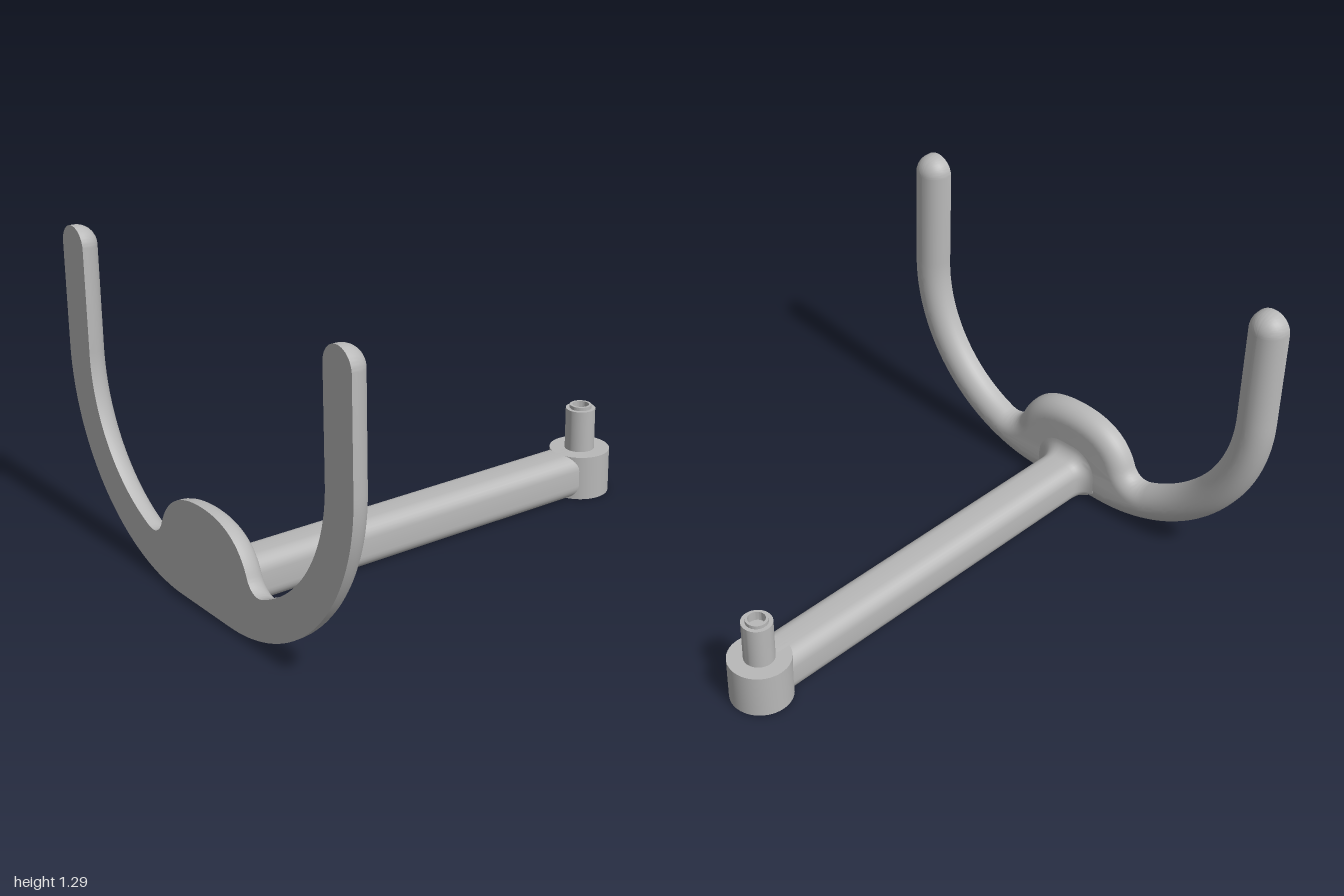
import * as THREE from 'three';
import { toCreasedNormals } from 'three/addons/utils/BufferGeometryUtils.js';

// Skin a run of equal-length rings [x, y, z] from high z to low z, with flat caps.
function loft(rings) {
  const n = rings[0].length, index = [];
  for (let k = 0; k < rings.length - 1; k++) {
    for (let i = 0; i < n; i++) {
      const a = k * n + i, b = k * n + (i + 1) % n;
      index.push(a, a + n, b, b, a + n, b + n);
    }
  }
  const cap = (k, flip) => {
    const contour = rings[k].map(([x, y]) => new THREE.Vector2(x, y));
    for (const [a, b, c] of THREE.ShapeUtils.triangulateShape(contour, [])) {
      const o = k * n;
      index.push(o + a, o + (flip ? c : b), o + (flip ? b : c));
    }
  };
  cap(0, false);
  cap(rings.length - 1, true);
  const geo = new THREE.BufferGeometry();
  geo.setAttribute('position', new THREE.Float32BufferAttribute(rings.flat(2), 3));
  geo.setIndex(index);
  return toCreasedNormals(geo, 0.6);
}

// Closed outline of the fork: right half as a path, then mirrored.
function forkOutline() {
  const path = new THREE.Path();
  path.moveTo(0, 0);
  path.lineTo(0.17, 0);
  path.absarc(0.17, 0.79, 0.79, -Math.PI / 2, 0, false);
  path.lineTo(0.96, 1.21);
  path.absarc(0.88, 1.21, 0.08, 0, Math.PI, false);
  path.lineTo(0.8, 0.79);
  path.absarc(0.17, 0.79, 0.63, 0, -1.197, true);
  path.bezierCurveTo(0.36, 0.187, 0.32, 0.2, 0.3, 0.245);
  path.bezierCurveTo(0.26, 0.35, 0.17, 0.42, 0, 0.42);
  const half = path.getPoints(20).filter((p, i, all) => i === 0 || p.distanceTo(all[i - 1]) > 1e-3);
  const mirror = half.slice(1, -1).reverse().map(p => new THREE.Vector2(-p.x, p.y));
  return [...half, ...mirror];
}

// Fork: flat front, fully rounded back edge.
function forkGeometry() {
  const pts = forkOutline(), n = pts.length, r = 0.077, back = 0.905;
  const normals = pts.map((p, i) => {
    const e1 = p.clone().sub(pts[(i + n - 1) % n]).normalize();
    const e2 = pts[(i + 1) % n].clone().sub(p).normalize();
    const t = e1.add(e2).normalize();
    return new THREE.Vector2(t.y, -t.x);
  });
  const ring = (inset, z) => pts.map((p, i) => [p.x - normals[i].x * inset, p.y - normals[i].y * inset, z]);
  const rings = [ring(0, 1)];
  for (let k = 0; k <= 9; k++) {
    const a = k / 9 * Math.PI / 2;
    rings.push(ring(r * (1 - Math.cos(a)), back + r * (1 - Math.sin(a))));
  }
  return loft(rings);
}

// Bar: rounded square section that flares into the back of the fork.
function barGeometry() {
  const half = 0.095, corner = 0.06, flare = 0.06, back = 0.905;
  const section = [];
  for (let q = 0; q < 4; q++) {
    const sx = q === 0 || q === 3 ? 1 : -1, sy = q < 2 ? 1 : -1;
    for (let k = 0; k <= 7; k++) {
      const a = (q + k / 7) * Math.PI / 2, nx = Math.cos(a), ny = Math.sin(a);
      section.push({ x: sx * (half - corner) + nx * corner, y: half + sy * (half - corner) + ny * corner, nx, ny });
    }
  }
  // The underside stays flat, so the flare fades out towards it.
  const ring = (off, z) => section.map(s => [
    s.x + s.nx * off * (1 + Math.min(0, s.ny)), s.y + Math.max(0, s.ny) * off, z]);
  const rings = [ring(flare, 0.96)];
  for (let k = 8; k >= 0; k--) {
    const a = k / 8 * Math.PI / 2;
    rings.push(ring(flare * (1 - Math.cos(a)), back - flare + flare * Math.sin(a)));
  }
  rings.push(ring(0, -0.81));
  return loft(rings);
}

function turned(profile) {
  const pts = profile.map(([r, y]) => new THREE.Vector2(r, y));
  return toCreasedNormals(new THREE.LatheGeometry(pts, 48), 0.6);
}

export function createModel() {
  const group = new THREE.Group();
  const grey = new THREE.MeshStandardMaterial({ color: 0xb8b8b8 });
  grey.name = 'plain grey';
  const add = (name, geo, z = 0) => {
    const mesh = new THREE.Mesh(geo, grey);
    mesh.name = name;
    mesh.position.z = z;
    group.add(mesh);
  };

  add('fork', forkGeometry());
  add('bar', barGeometry());

  // Round boss at the rear with an upright hollow-tipped pin
  add('boss', turned([[0, 0], [0.127, 0], [0.127, 0.19], [0, 0.19]]), -0.873);
  add('pin', turned([[0.0625, 0.18], [0.0625, 0.37], [0.046, 0.37], [0.046, 0.385],
    [0.035, 0.385], [0.035, 0.345], [0, 0.345]]), -0.873);
  return group;
}
